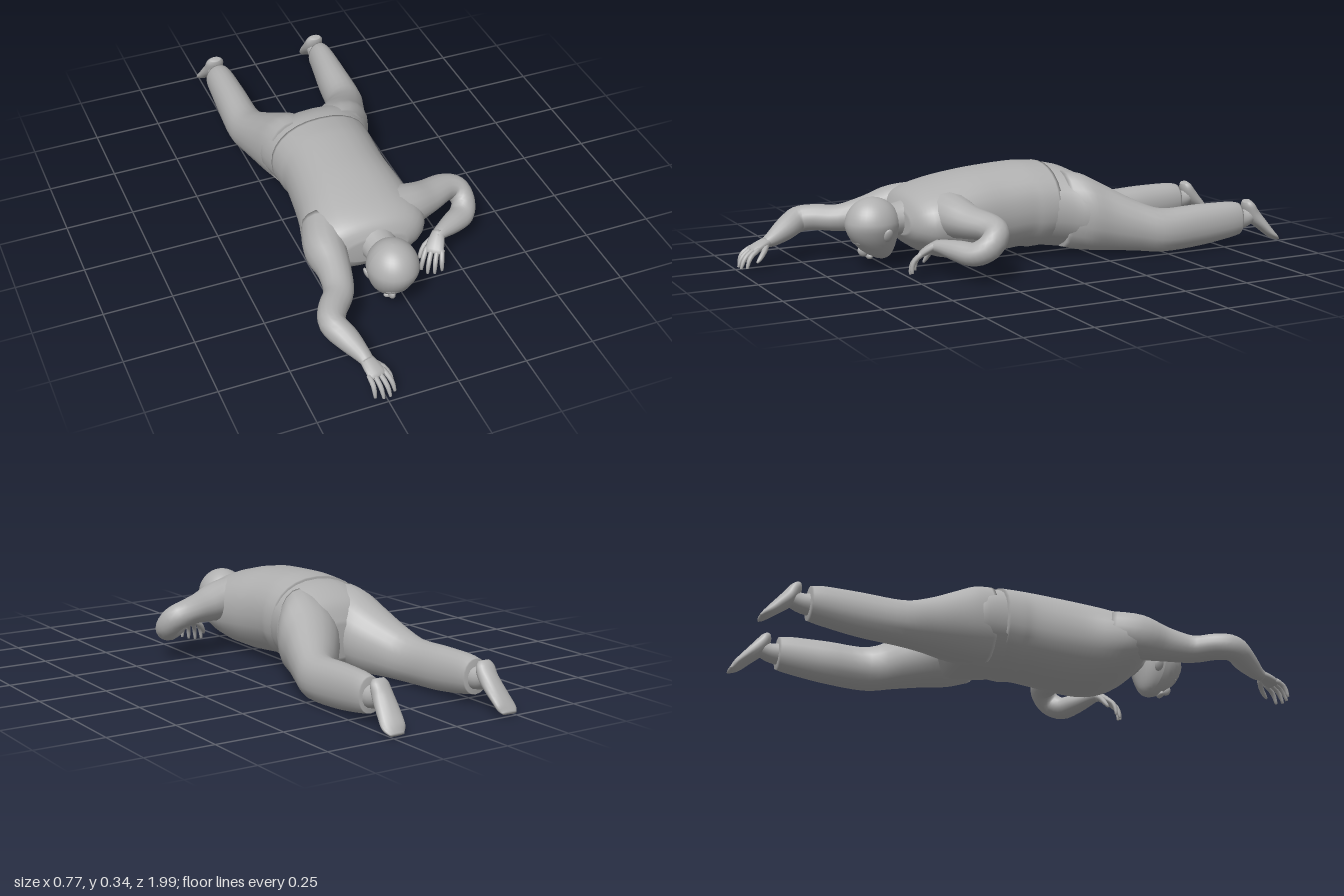
import * as THREE from 'three';

const grey = new THREE.MeshStandardMaterial({ color: 0xb0b0b0 });
grey.name = 'plain grey';

// Catmull-Rom through rows of numbers
function refine(rows, steps) {
  const out = [], n = rows.length - 1;
  for (let i = 0; i < n; i++) {
    const a = rows[Math.max(i - 1, 0)], b = rows[i], c = rows[i + 1], d = rows[Math.min(i + 2, n)];
    for (let s = 0; s < steps; s++) {
      const t = s / steps;
      out.push(b.map((v, k) => v + 0.5 * t * (c[k] - a[k] + t * (2 * a[k] - 5 * v + 4 * c[k] - d[k]
        + t * (3 * (v - c[k]) + d[k] - a[k])))));
    }
  }
  out.push(rows[n]);
  return out;
}

// Closed skin over equal rings of points, wound outwards
function skin(name, rings) {
  const m = rings[0].length, pos = [], idx = [];
  rings.forEach(r => r.forEach(p => pos.push(p.x, p.y, p.z)));
  for (let i = 0; i < rings.length - 1; i++) for (let j = 0; j < m; j++) {
    const a = i * m + j, b = i * m + (j + 1) % m;
    idx.push(a, b, a + m, b, b + m, a + m);
  }
  [0, rings.length - 1].forEach((r, end) => {
    const c = new THREE.Vector3();
    rings[r].forEach(p => c.addScaledVector(p, 1 / m));
    const ci = pos.length / 3;
    pos.push(c.x, c.y, c.z);
    for (let j = 0; j < m; j++) {
      const a = r * m + j, b = r * m + (j + 1) % m;
      if (end) idx.push(a, b, ci); else idx.push(b, a, ci);
    }
  });
  const v = i => new THREE.Vector3().fromArray(pos, idx[i] * 3);
  let volume = 0;
  for (let i = 0; i < idx.length; i += 3) volume += v(i).dot(v(i + 1).cross(v(i + 2)));
  if (volume < 0) idx.reverse();
  const g = new THREE.BufferGeometry();
  g.setAttribute('position', new THREE.Float32BufferAttribute(pos, 3));
  g.setIndex(idx);
  g.computeVertexNormals();
  const mesh = new THREE.Mesh(g, grey);
  mesh.name = name;
  return mesh;
}

const power = (v, e) => Math.sign(v) * Math.abs(v) ** (2 / e);

// Sections across z: [z, xMin, xMax, yMin, yMax]
function body(name, rows, e = 2.2, sides = 28) {
  return skin(name, refine(rows, 4).map(([z, x0, x1, y0, y1]) => Array.from({ length: sides }, (_, j) => {
    const t = j / sides * Math.PI * 2;
    return new THREE.Vector3((x0 + x1) / 2 + (x1 - x0) / 2 * power(Math.cos(t), e),
      (y0 + y1) / 2 + (y1 - y0) / 2 * power(Math.sin(t), e), z);
  })));
}

// Sections along a path: [x, y, z, half width, half height]
function limb(name, rows, sides = 16, steps = 4) {
  const fine = refine(rows, steps), at = i => new THREE.Vector3(...fine[i].slice(0, 3));
  return skin(name, fine.map((f, i) => {
    const dir = at(Math.min(i + 1, fine.length - 1)).sub(at(Math.max(i - 1, 0))).normalize();
    const side = new THREE.Vector3(0, 1, 0).cross(dir).normalize();
    const up = dir.clone().cross(side);
    return Array.from({ length: sides }, (_, j) => {
      const t = j / sides * Math.PI * 2;
      return at(i).addScaledVector(side, f[3] * Math.cos(t)).addScaledVector(up, f[4] * Math.sin(t));
    });
  }));
}

// Palm, four curled fingers and a thumb; points along +z, thumb towards thumbSide
function hand(name, thumbSide, curl) {
  const g = new THREE.Group();
  g.name = name;
  g.add(limb('palm', [[0, 0, -0.02, 0.022, 0.017], [0, 0.002, 0.015, 0.03, 0.016],
    [0, 0, 0.05, 0.034, 0.013], [0, -0.004, 0.062, 0.03, 0.008]], 12, 3));
  [0.028, 0.009, -0.01, -0.028].forEach((x, i) => {
    const X = x * thumbSide, L = [0.062, 0.072, 0.068, 0.052][i];
    g.add(limb('finger', [[X, 0, 0.045, 0.009, 0.009], [X * 1.15, -0.006, 0.055 + L * 0.4, 0.009, 0.009],
      [X * 1.25, -0.006 - curl * 0.4, 0.055 + L * 0.75, 0.008, 0.008],
      [X * 1.3, -0.006 - curl, 0.055 + L, 0.005, 0.005]], 8, 2));
  });
  const s = thumbSide;
  g.add(limb('thumb', [[0.015 * s, -0.004, 0.005, 0.012, 0.011], [0.04 * s, -0.012, 0.035, 0.01, 0.01],
    [0.05 * s, -0.025, 0.065, 0.008, 0.008], [0.05 * s, -0.032, 0.08, 0.004, 0.004]], 8, 2));
  g.rotation.order = 'YXZ';
  return g;
}

function ball(name, x, y, z, sx, sy, sz) {
  const m = new THREE.Mesh(new THREE.SphereGeometry(1, 16, 12), grey);
  m.name = name;
  m.position.set(x, y, z);
  m.scale.set(sx, sy, sz);
  return m;
}

function makeHead() {
  const head = new THREE.Group();
  head.name = 'head';
  // Skull, narrowing and sliding back towards the chin
  const geo = new THREE.SphereGeometry(1, 32, 24), p = geo.attributes.position;
  for (let i = 0; i < p.count; i++) {
    const x = p.getX(i), y = p.getY(i), z = p.getZ(i), low = Math.max(0, -y);
    p.setXYZ(i, x * 0.092 * (1 - 0.25 * low) - 0.01 * low, y * (y < 0 ? 0.128 : 0.1),
      z * 0.1 * (1 - 0.2 * low) - 0.04 * low * low);
  }
  geo.computeVertexNormals();
  const skull = new THREE.Mesh(geo, grey);
  skull.name = 'skull';
  skull.position.set(-0.048, 0.162, 0.556);
  head.add(skull);
  const nose = ball('nose', -0.063, 0.066, 0.588, 0.012, 0.022, 0.018);
  nose.rotation.x = 0.7;
  head.add(nose, ball('brow', -0.055, 0.105, 0.612, 0.042, 0.012, 0.016));
  head.add(ball('mouth', -0.062, 0.047, 0.565, 0.022, 0.012, 0.012));
  [[0.037, 0.4], [-0.132, -0.4]].forEach(([x, turn]) => {
    const ear = ball('ear', x, 0.135, 0.53, 0.009, 0.026, 0.017);
    ear.rotation.z = -turn;
    head.add(ear);
  });
  head.add(limb('neck', [[-0.06, 0.18, 0.38, 0.085, 0.075], [-0.055, 0.175, 0.45, 0.065, 0.06],
    [-0.05, 0.165, 0.53, 0.06, 0.058]]));
  return head;
}

export function createModel() {
  const model = new THREE.Group();
  model.name = 'proneFigure';

  // Shirt, with its hem standing just off the hips
  model.add(body('torso', [[-0.115, -0.245, 0.138, 0.032, 0.34], [-0.05, -0.24, 0.135, 0.025, 0.345],
    [0, -0.236, 0.13, 0.03, 0.346], [0.1, -0.245, 0.13, 0.02, 0.34], [0.2, -0.26, 0.14, 0.014, 0.33],
    [0.3, -0.285, 0.15, 0.02, 0.31], [0.38, -0.295, 0.15, 0.05, 0.285],
    [0.43, -0.26, 0.11, 0.085, 0.255], [0.455, -0.18, 0.05, 0.12, 0.21]]));
  model.add(body('hips', [[-0.05, -0.23, 0.125, 0.035, 0.335], [-0.15, -0.247, 0.152, 0.02, 0.33],
    [-0.22, -0.253, 0.182, 0.016, 0.305], [-0.27, -0.23, 0.17, 0.03, 0.265], [-0.3, -0.13, 0.07, 0.08, 0.2]]));

  // Legs
  model.add(body('leftLeg', [[-0.15, -0.04, 0.14, 0.03, 0.315], [-0.22, -0.04, 0.185, 0.015, 0.303],
    [-0.3, -0.025, 0.208, 0.01, 0.262], [-0.4, 0.05, 0.242, 0.008, 0.205], [-0.5, 0.125, 0.27, 0.004, 0.167],
    [-0.65, 0.148, 0.27, 0.012, 0.17], [-0.78, 0.168, 0.267, 0.03, 0.17], [-0.83, 0.175, 0.262, 0.04, 0.162]], 2.1, 20));
  model.add(body('rightLeg', [[-0.15, -0.24, -0.04, 0.03, 0.315], [-0.22, -0.255, -0.03, 0.015, 0.303],
    [-0.3, -0.266, -0.04, 0.01, 0.262], [-0.4, -0.277, -0.098, 0.008, 0.205], [-0.5, -0.286, -0.143, 0.004, 0.167],
    [-0.65, -0.278, -0.152, 0.012, 0.17], [-0.78, -0.27, -0.16, 0.03, 0.17], [-0.83, -0.266, -0.165, 0.04, 0.162]], 2.1, 20));

  // Feet, soles turned up and toes on the floor
  [['left', 0.218, 0.232], ['right', -0.213, -0.224]].forEach(([side, x, toe]) => {
    const mid = (x + toe) / 2;
    model.add(limb(side + 'Ankle', [[x, 0.1, -0.79, 0.036, 0.046], [x, 0.098, -0.85, 0.033, 0.036],
      [x, 0.11, -0.89, 0.03, 0.03]]));
    model.add(limb(side + 'Foot', [[x, 0.166, -0.868, 0.022, 0.012], [x, 0.148, -0.876, 0.035, 0.022],
      [x, 0.11, -0.897, 0.038, 0.028], [mid, 0.065, -0.94, 0.042, 0.022],
      [toe, 0.03, -0.975, 0.042, 0.015], [toe, 0.012, -0.995, 0.028, 0.006]]));
  });

  // Right arm, stretched ahead
  model.add(limb('rightArm', [[-0.2, 0.19, 0.3, 0.08, 0.085], [-0.235, 0.178, 0.4, 0.076, 0.085],
    [-0.242, 0.165, 0.5, 0.06, 0.065], [-0.265, 0.152, 0.6, 0.052, 0.05], [-0.315, 0.152, 0.67, 0.05, 0.048],
    [-0.338, 0.145, 0.73, 0.046, 0.048], [-0.31, 0.12, 0.79, 0.043, 0.042],
    [-0.283, 0.094, 0.85, 0.029, 0.028], [-0.275, 0.085, 0.88, 0.023, 0.018]]));
  const rightHand = hand('rightHand', 1, 0.035);
  rightHand.position.set(-0.274, 0.084, 0.88);
  rightHand.rotation.set(0.3, 0.24, 0);
  model.add(rightHand);

  // Left arm, folded back at the elbow
  model.add(limb('leftArm', [[0.03, 0.2, 0.31, 0.1, 0.085], [0.12, 0.195, 0.305, 0.08, 0.075],
    [0.2, 0.187, 0.28, 0.067, 0.058], [0.28, 0.182, 0.25, 0.055, 0.048], [0.33, 0.165, 0.253, 0.046, 0.048],
    [0.346, 0.13, 0.288, 0.043, 0.046], [0.32, 0.105, 0.33, 0.046, 0.042], [0.265, 0.11, 0.368, 0.04, 0.037],
    [0.205, 0.117, 0.405, 0.027, 0.025], [0.18, 0.113, 0.422, 0.022, 0.018]]));
  const leftHand = hand('leftHand', -1, 0.035);
  leftHand.position.set(0.183, 0.114, 0.421);
  leftHand.rotation.set(0.55, -0.65, 0);
  model.add(leftHand);

  model.add(makeHead());
  return model;
}
